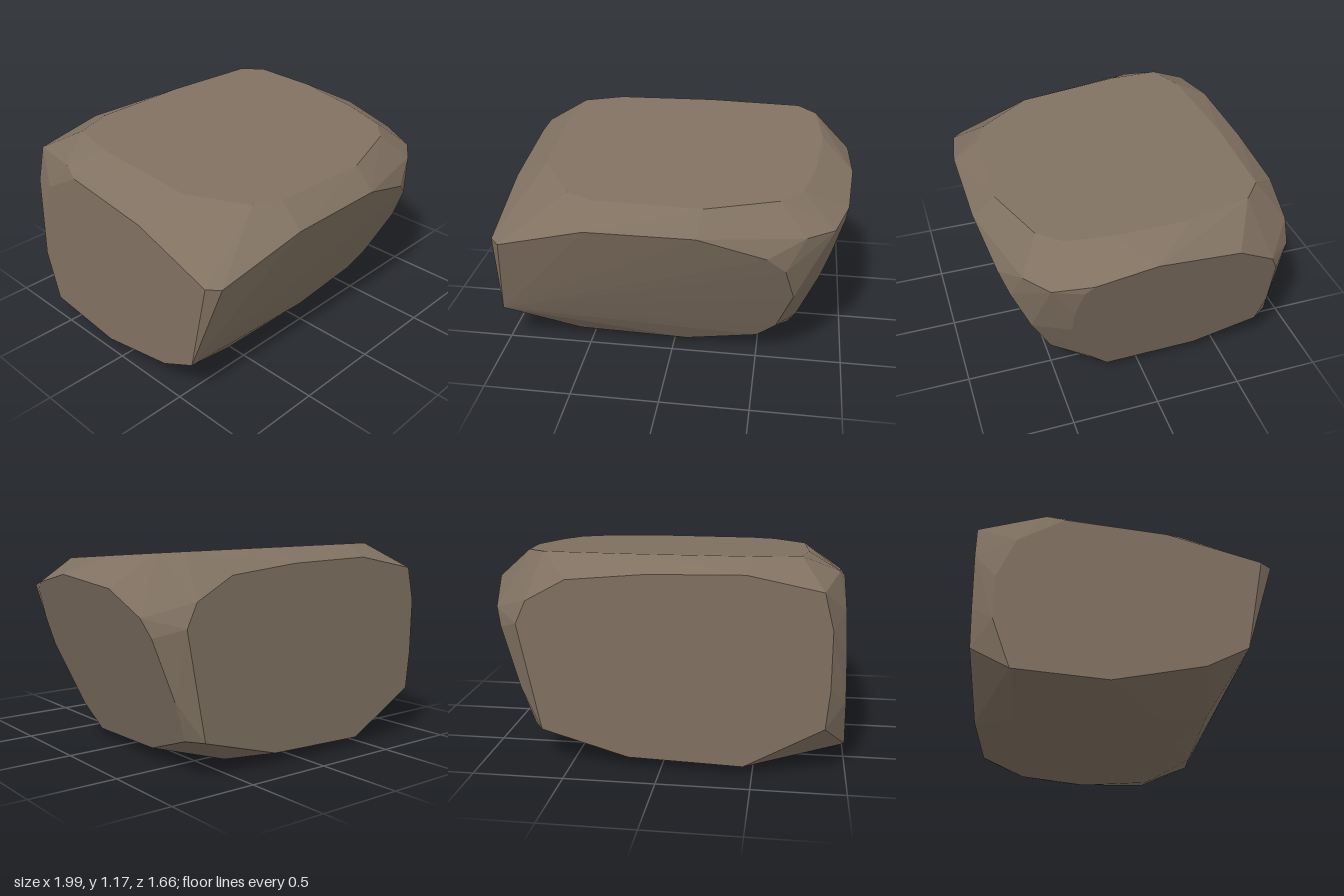
import * as THREE from 'three';
import { ConvexGeometry } from 'three/addons/geometries/ConvexGeometry.js';

export function createModel() {
  const group = new THREE.Group();
  group.name = 'boulder';
  const stone = new THREE.MeshStandardMaterial({ color: 0x807161 });
  stone.name = 'brown stone';

  const points = [];
  // Place a 2D outline on a sloping plane; the gaps between outlines become bevels
  const face = (outline, place) => outline.forEach(([a, b]) => points.push(new THREE.Vector3(...place(a, b))));

  // Overhanging front, outline in x, y
  face([[-0.42, 0.94], [-0.08, 0.93], [0.18, 0.94], [0.55, 0.82], [0.65, 0.73], [0.7, 0.52], [0.61, 0.24],
    [0.5, 0.13], [0.08, 0.04], [-0.57, 0.06], [-0.77, 0.14], [-0.94, 0.27], [-0.92, 0.79]],
  (x, y) => [x, y, 0.425 + (y - 0.03) * 0.445]);

  // Upright back, outline in x, y
  face([[0.78, 0.8], [0.72, 0.93], [0.5, 1.05], [0.07, 1.09], [-0.45, 1.1], [-0.85, 1.02], [-0.9, 0.82], [-0.9, 0.5],
    [-0.88, 0.28], [-0.45, 0.04], [0.18, 0.06], [0.66, 0.2]],
  (x, y) => [x, y, -0.81 - y * 0.018]);

  // Leaning left side, outline in z, y
  face([[0.36, 0.95], [0.03, 1.02], [-0.43, 0.98], [-0.65, 0.85], [-0.7, 0.75], [-0.74, 0.42], [-0.72, 0.2],
    [-0.35, 0.07], [0.2, 0.06], [0.32, 0.2], [0.45, 0.56], [0.45, 0.72], [0.41, 0.9]],
  (z, y) => [0.675 + (y - 0.06) * 0.335, y, z]);

  // Nearly upright right side, outline in z, y
  face([[0.7, 0.79], [0.2, 0.95], [-0.35, 1.02], [-0.6, 0.88], [-0.7, 0.65], [-0.7, 0.4], [-0.6, 0.12],
    [-0.1, 0.07], [0.38, 0.16], [0.6, 0.27]],
  (z, y) => [-1 + y * 0.03, y, z]);

  // Gently sloping top, outline in x, z
  face([[-0.55, 0.61], [-0.4, 0.68], [-0.1, 0.69], [0.2, 0.7], [0.6, 0.57], [0.72, 0.45], [0.78, 0.2], [0.82, -0.2],
    [0.77, -0.55], [0.66, -0.65], [0.1, -0.68], [-0.5, -0.66], [-0.73, -0.58], [-0.77, -0.3], [-0.74, 0], [-0.75, 0.3]],
  (x, z) => [x, 1.112 - z * 0.083, z]);

  // Flat base, outline in x, z
  face([[-0.74, -0.3], [-0.62, 0.2], [-0.3, 0.3], [0.1, 0.3], [0.42, 0.2], [0.5, -0.2], [0.35, -0.58],
    [-0.1, -0.65], [-0.6, -0.6]],
  (x, z) => [x, 0, z]);

  // Worn points on the upper corners
  face([[0.75, 0.68], [0.9, 0.57]], (x, z) => [x, 0.91, z]);
  face([[-0.94, -0.45], [-0.8, -0.76]], (x, z) => [x, 1.06, z]);

  const boulder = new THREE.Mesh(new ConvexGeometry(points), stone);
  boulder.name = 'boulderBody';
  group.add(boulder);
  return group;
}
